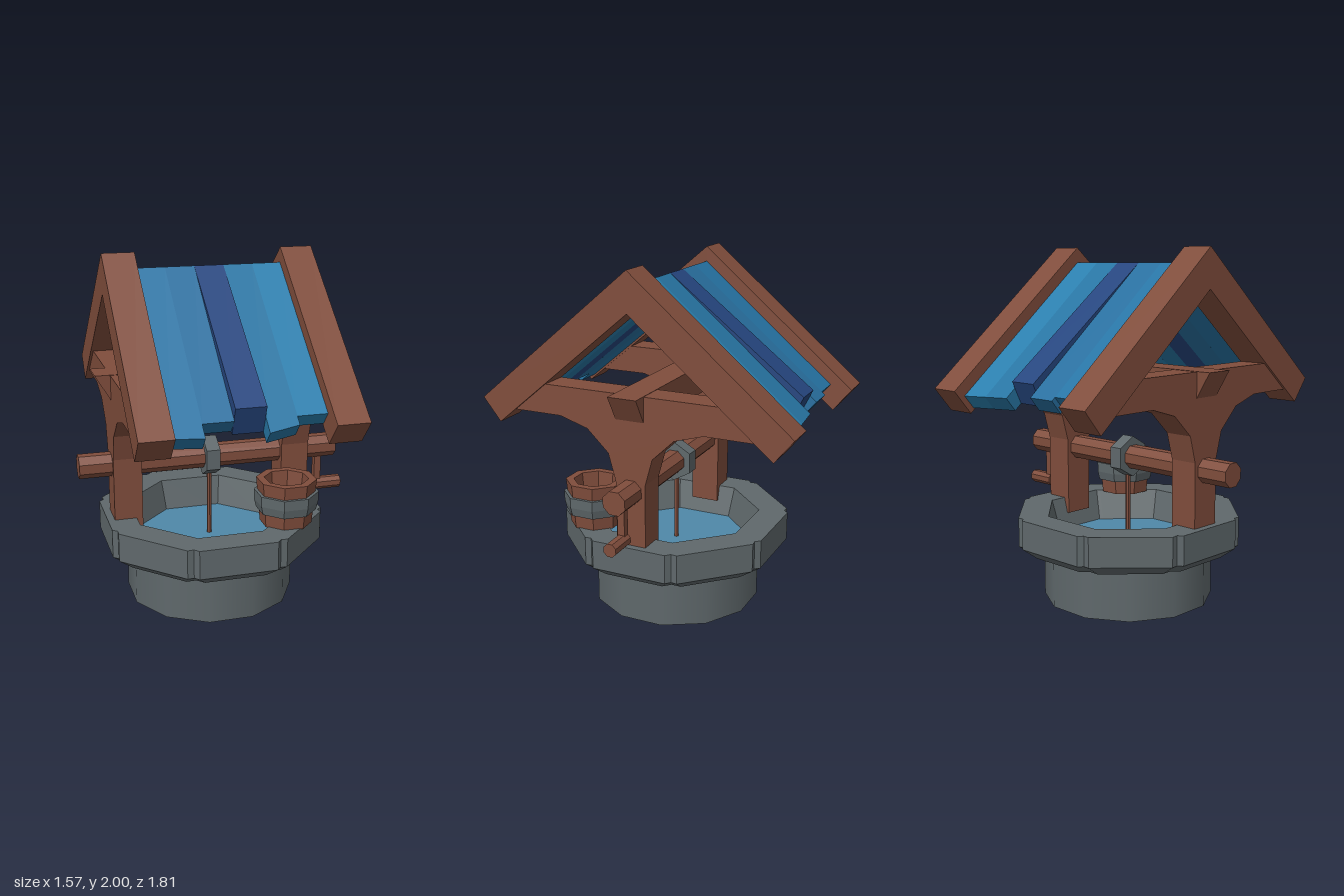
import * as THREE from 'three';

const WOOD = 0x804d3c, STONE = 0x5f686b, WATER = 0x4f88a8;
const TAN = Math.tan(Math.PI / 8);

function add(parent, name, geometry, color, flat = true) {
  const material = new THREE.MeshStandardMaterial({ color, flatShading: flat });
  const mesh = new THREE.Mesh(geometry, material);
  mesh.name = name;
  parent.add(mesh);
  return mesh;
}

// Side profile given as [z, y], extruded from x0 to x1
function extrudeX(points, x0, x1) {
  const shape = new THREE.Shape(points.map(p => new THREE.Vector2(p[0], p[1])));
  const g = new THREE.ExtrudeGeometry(shape, { depth: x1 - x0, bevelEnabled: false });
  return g.rotateY(-Math.PI / 2).translate(x1, 0, 0);
}

// Faceted bar lying along x
function barX(radius, x0, x1, y, sides, start) {
  return new THREE.CylinderGeometry(radius, radius, x1 - x0, sides, 1, false, start)
    .rotateZ(Math.PI / 2).translate((x0 + x1) / 2, y, 0);
}

// Half profile [z, y] from the top down, mirrored in z to a closed outline
const mirrored = half => [...half, ...half.filter(p => p[0] > 0).reverse().map(([z, y]) => [-z, y])];

// One rim stone facing +z: a cross-section lofted between its mitred, notched ends
function rimStone() {
  const profile = [ // radius, y, notch depth, setback of the notch corner
    [0.55, 0.29, 0.04, 0.055], [0.615, 0.345, 0.028, 0.035], [0.615, 0.51, 0.028, 0.035],
    [0.45, 0.51, 0, 0.02], [0.4, 0.32, 0, 0.02], [0.4, 0.29, 0, 0.02]];
  const n = profile.length, pos = [], index = [];
  for (const [side, end] of [[-1, true], [-1, false], [1, false], [1, true]]) {
    for (const [r, y, notch, setback] of profile) {
      const z = end ? r - notch : r;
      pos.push(side * (end ? z * TAN : r * TAN - setback), y, z);
    }
  }
  for (let i = 0; i < 3; i++) for (let j = 0; j < n; j++) {
    const a = i * n + j, b = i * n + (j + 1) % n;
    index.push(a, a + n, b, a + n, b + n, b);
  }
  const g = new THREE.BufferGeometry();
  g.setAttribute('position', new THREE.Float32BufferAttribute(pos, 3));
  g.setIndex(index);
  const flat = g.toNonIndexed();
  flat.computeVertexNormals();
  return flat;
}

// Roof plank on the front (s = 1) or back (s = -1) slope; its end runs from z0 to z1
function plank(s, x0, x1, z0, z1, lift) {
  const slope = 0.84, ridge = 1.915, end = ridge - slope * z0;
  const g = extrudeX([
    [0, ridge], [s * z0, end + lift], [s * (z0 - 0.058), end - 0.07], [0, ridge - 0.117],
  ], x0, x1);
  const p = g.attributes.position;
  for (let i = 0; i < p.count; i++) { // skew the lower end along the slope
    if (Math.abs(p.getZ(i)) < 0.3) continue;
    const shift = (z1 - z0) * (p.getX(i) - x0) / (x1 - x0);
    p.setZ(i, p.getZ(i) + s * shift);
    p.setY(i, p.getY(i) - slope * shift);
  }
  g.computeVertexNormals();
  return g;
}

export function createModel() {
  const model = new THREE.Group();
  model.name = 'well';
  const well = new THREE.Group();
  well.name = 'wellBody';
  well.position.x = -0.03;
  model.add(well);

  // Stone base, water and rim
  const baseR = 0.47 / Math.cos(Math.PI / 12);
  add(well, 'base', new THREE.CylinderGeometry(baseR, baseR, 0.3, 12, 1, false, Math.PI / 12)
    .translate(0, 0.15, 0), STONE, false);
  add(well, 'water', new THREE.CircleGeometry(0.46, 16).rotateX(-Math.PI / 2).translate(0, 0.335, 0), WATER);
  const rim = new THREE.Group();
  rim.name = 'rim';
  well.add(rim);
  const stone = rimStone();
  for (let k = 0; k < 8; k++) add(rim, 'rimStone', stone, STONE).rotation.y = k * Math.PI / 4;

  // Posts with curved arms, and the gable beams above them
  const post = mirrored([[0.56, 1.355], [0.74, 1.19], [0.42, 1.19], [0.255, 1.14],
    [0.13, 1.02], [0.088, 0.87], [0.085, 0.42]]);
  const gable = [[0, 2], [0.905, 1.24], [0.8, 1.11], [0, 1.78], [-0.8, 1.11], [-0.905, 1.24]];
  for (const s of [-1, 1]) {
    const span = (a, b) => (s > 0 ? [a, b] : [-b, -a]);
    add(well, 'post', extrudeX(post, ...span(0.413, 0.575)), WOOD);
    add(well, 'gableBeam', extrudeX(gable, ...span(0.41, 0.59)), WOOD);
  }

  // Cross beam with slanted ends
  const beam = new THREE.Shape([[-0.66, 1.357], [-0.56, 1.19], [0.56, 1.19], [0.66, 1.357]]
    .map(p => new THREE.Vector2(...p)));
  add(well, 'crossBeam', new THREE.ExtrudeGeometry(beam, { depth: 0.165, bevelEnabled: false })
    .translate(0, 0, -0.0825), WOOD);

  // Roof planks: front ends, back ends, colour, front lift, back lift
  const planks = [
    [0.83, 0.84, 0.78, 0.78, 0x2674a4, 0, 0],
    [0.775, 0.775, 0.8, 0.8, 0x286f9f, 0, 0],
    [0.79, 0.79, 0.78, 0.78, 0x26467f, 0.08, 0.05],
    [0.84, 0.815, 0.82, 0.83, 0x2775a3, 0, 0],
    [0.775, 0.775, 0.83, 0.84, 0x2a7fae, 0, 0],
  ];
  planks.forEach(([f0, f1, b0, b1, color, liftF, liftB], i) => {
    const x0 = -0.41 + i * 0.164, x1 = x0 + 0.164;
    add(well, 'frontPlank', plank(1, x0, x1, f0, f1, liftF), color);
    add(well, 'backPlank', plank(-1, x0, x1, b0, b1, liftB), color);
  });

  // Axle, collar, rope and crank
  add(well, 'axle', barX(0.07, -0.76, 0.76, 0.82, 8, Math.PI / 8), WOOD);
  add(well, 'collar', barX(0.117, -0.04, 0.04, 0.82, 6, Math.PI / 2), STONE);
  add(well, 'rope', new THREE.CylinderGeometry(0.014, 0.014, 0.45, 6).translate(0, 0.545, 0), WOOD);
  add(well, 'crankArm', new THREE.BoxGeometry(0.04, 0.22, 0.04).translate(0.667, 0.68, 0), WOOD);
  add(well, 'crankHandle', barX(0.039, 0.647, 0.813, 0.578, 8, Math.PI / 8), WOOD);

  // Bucket with a metal band, resting on the rim
  const bucket = new THREE.Group();
  bucket.name = 'bucket';
  bucket.position.set(0.355, 0.505, 0.34);
  well.add(bucket);
  const k = 1 / Math.cos(Math.PI / 8);
  const lathe = points => new THREE.LatheGeometry(
    points.map(([r, y]) => new THREE.Vector2(r * k, y)), 8, Math.PI / 8);
  add(bucket, 'bucketBody', lathe([[0, 0], [0.135, 0], [0.157, 0.26], [0.115, 0.26], [0.1, 0.1], [0, 0.1]]), WOOD);
  add(bucket, 'bucketBand', lathe([[0.135, 0.08], [0.156, 0.08], [0.167, 0.13], [0.168, 0.188], [0.145, 0.188]]), STONE);
  return model;
}
